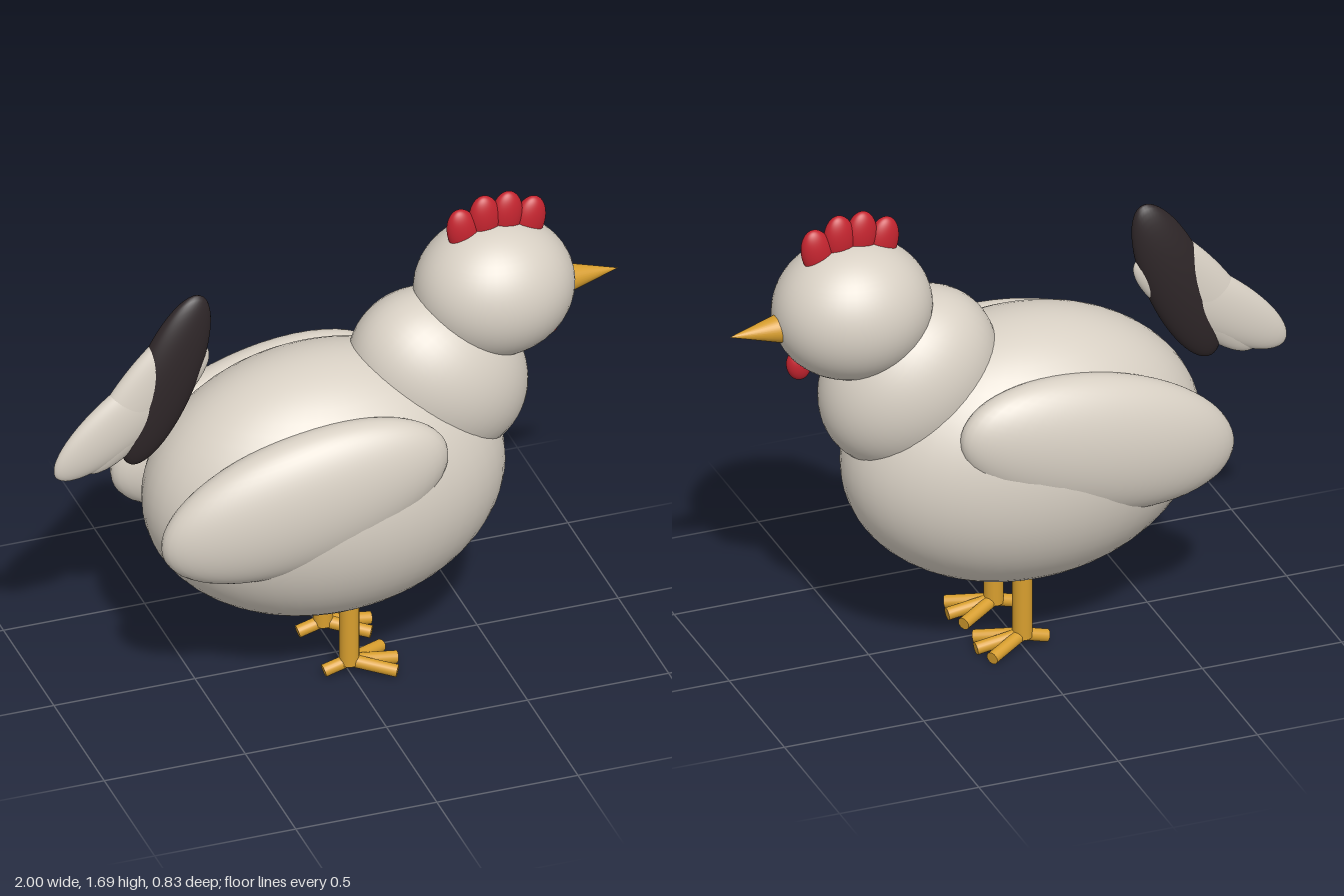
import * as THREE from 'three';

const material = (name, color) => {
  const m = new THREE.MeshStandardMaterial({ color });
  m.name = name;
  return m;
};

export function createModel() {
  const model = new THREE.Group();
  model.name = 'hen';
  const white = material('featherWhite', 0xd8d0c4);
  const black = material('featherBlack', 0x2e2628);
  const red = material('combRed', 0xc4242f);
  const yellow = material('legYellow', 0xd79e2e);

  const ball = new THREE.SphereGeometry(1, 48, 32);
  const rad = THREE.MathUtils.degToRad;

  // Ellipsoid with its tilt in the side plane and yaw about the upright axis
  function ellipsoid(name, mat, pos, radii, tilt = 0, yaw = 0, parent = model) {
    const mesh = new THREE.Mesh(ball, mat);
    mesh.name = name;
    mesh.position.set(...pos);
    mesh.scale.set(...radii);
    mesh.rotation.set(0, rad(yaw), rad(tilt), 'YZX');
    parent.add(mesh);
    return mesh;
  }

  // Straight round rod between two points
  function rod(name, from, to, radius, parent) {
    const a = new THREE.Vector3(...from), b = new THREE.Vector3(...to);
    const dir = b.clone().sub(a);
    const mesh = new THREE.Mesh(new THREE.CylinderGeometry(radius, radius, dir.length(), 20), yellow);
    mesh.name = name;
    mesh.position.copy(a).add(b).multiplyScalar(0.5);
    mesh.quaternion.setFromUnitVectors(new THREE.Vector3(0, 1, 0), dir.normalize());
    parent.add(mesh);
  }

  // Body, neck and head
  ellipsoid('body', white, [-0.045, 0.708, 0], [0.63, 0.483, 0.4]);
  ellipsoid('neck', white, [0.36, 1.04, 0], [0.335, 0.28, 0.25], -45);
  ellipsoid('head', white, [0.56, 1.335, 0], [0.275, 0.245, 0.24]);

  // Comb lobes, fanned along the crown
  const lobes = [[0.45, 1.565, 12], [0.527, 1.6, 4], [0.605, 1.6, -4], [0.685, 1.565, -12]];
  for (const [x, y, tilt] of lobes) {
    ellipsoid('combLobe', red, [x, y, 0], [0.055, 0.09, 0.035], tilt);
  }
  ellipsoid('wattle', red, [0.752, 1.155, 0], [0.042, 0.056, 0.031], -12);

  // Beak
  const beak = new THREE.Mesh(new THREE.ConeGeometry(0.05, 0.18, 32), yellow);
  beak.name = 'beak';
  beak.position.set(0.91, 1.307, 0);
  beak.rotation.z = -Math.PI / 2;
  model.add(beak);

  // Tail feathers fanned from the rump
  ellipsoid('tailFeatherLow', white, [-0.725, 1.1, 0], [0.335, 0.11, 0.05], 37);
  ellipsoid('tailFeatherMiddle', white, [-0.675, 1.165, 0], [0.34, 0.11, 0.05], 52);
  ellipsoid('tailFeatherTop', black, [-0.605, 1.205, 0], [0.33, 0.11, 0.056], 68);

  // Wings, legs and feet on both sides
  for (const side of [1, -1]) {
    const label = side > 0 ? 'front' : 'back';
    ellipsoid(label + 'Wing', white, [-0.21, 0.81, side * 0.278], [0.512, 0.25, 0.137], 15, -side * 3);

    const leg = new THREE.Group();
    leg.name = label + 'Leg';
    leg.position.z = side * 0.13;
    model.add(leg);
    rod('shank', [0, 0.04, 0], [0, 0.32, 0], 0.034, leg);
    for (const angle of [-32, 0, 32]) {
      const a = rad(angle);
      rod('frontToe', [0, 0.05, 0], [0.167 * Math.cos(a), 0.026, 0.16 * Math.sin(a)], 0.022, leg);
    }
    rod('backToe', [0, 0.05, 0], [-0.09, 0.025, 0], 0.022, leg);
  }

  return model;
}
